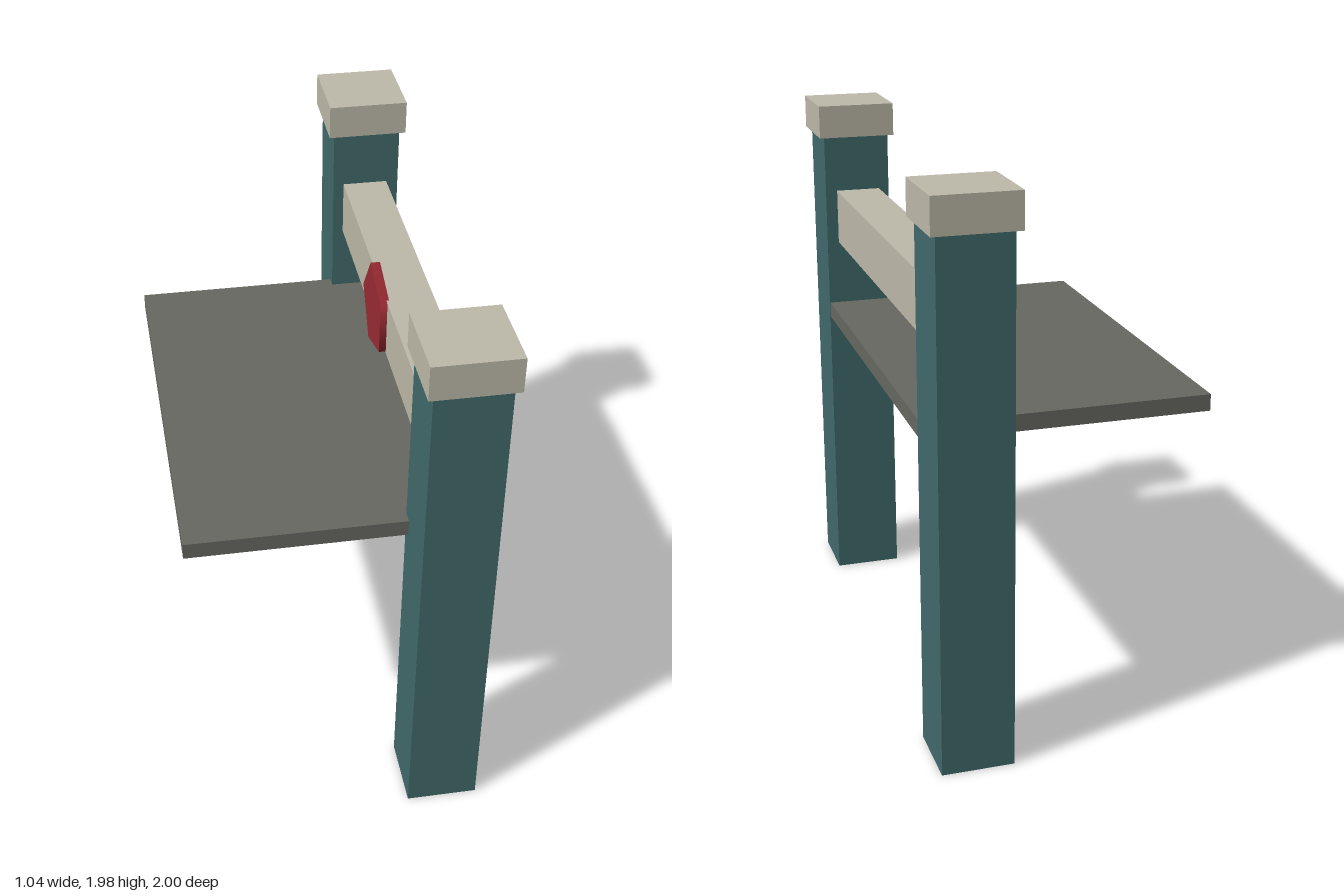
import * as THREE from 'three';

export function createModel() {
  const model = new THREE.Group();
  const paint = (name, color) => {
    const m = new THREE.MeshStandardMaterial({ color });
    m.name = name;
    return m;
  };
  const teal = paint('teal', 0x416a6c);
  const stone = paint('stone', 0xbebaaa);
  const slate = paint('slate grey', 0x686862);
  const red = paint('red', 0x9a2b33);

  const add = (name, geometry, material, x, y, z) => {
    const mesh = new THREE.Mesh(geometry, material);
    mesh.name = name;
    mesh.position.set(x, y, z);
    model.add(mesh);
    return mesh;
  };
  // Box given by its limits on each axis
  const box = (name, material, [x0, x1], [y0, y1], [z0, z1]) =>
    add(name, new THREE.BoxGeometry(x1 - x0, y1 - y0, z1 - z0), material,
      (x0 + x1) / 2, (y0 + y1) / 2, (z0 + z1) / 2);

  // Square posts with overhanging caps at both ends
  for (const [side, s] of [['front', 1], ['back', -1]]) {
    const span = (a, b) => [a * s, b * s].sort((p, q) => p - q);
    box(side + 'Post', teal, [0.245, 0.5], [0, 1.857], span(0.725, 0.98));
    box(side + 'Cap', stone, [0.225, 0.52], [1.855, 1.98], span(0.705, 1));
  }

  // Crossbeam let into the posts
  box('crossbeam', stone, [0.285, 0.455], [1.43, 1.64], [-0.97, 0.97]);

  // Flat shelf
  box('shelf', slate, [-0.52, 0.498], [1.12, 1.18], [-0.767, 0.767]);

  // Five-sided badge on the beam, one corner towards the back
  const badge = add('badge',
    new THREE.CylinderGeometry(0.168, 0.168, 0.034, 5, 1, false, Math.PI),
    red, 0.277, 1.535, 0);
  badge.rotation.z = Math.PI / 2;

  return model;
}
